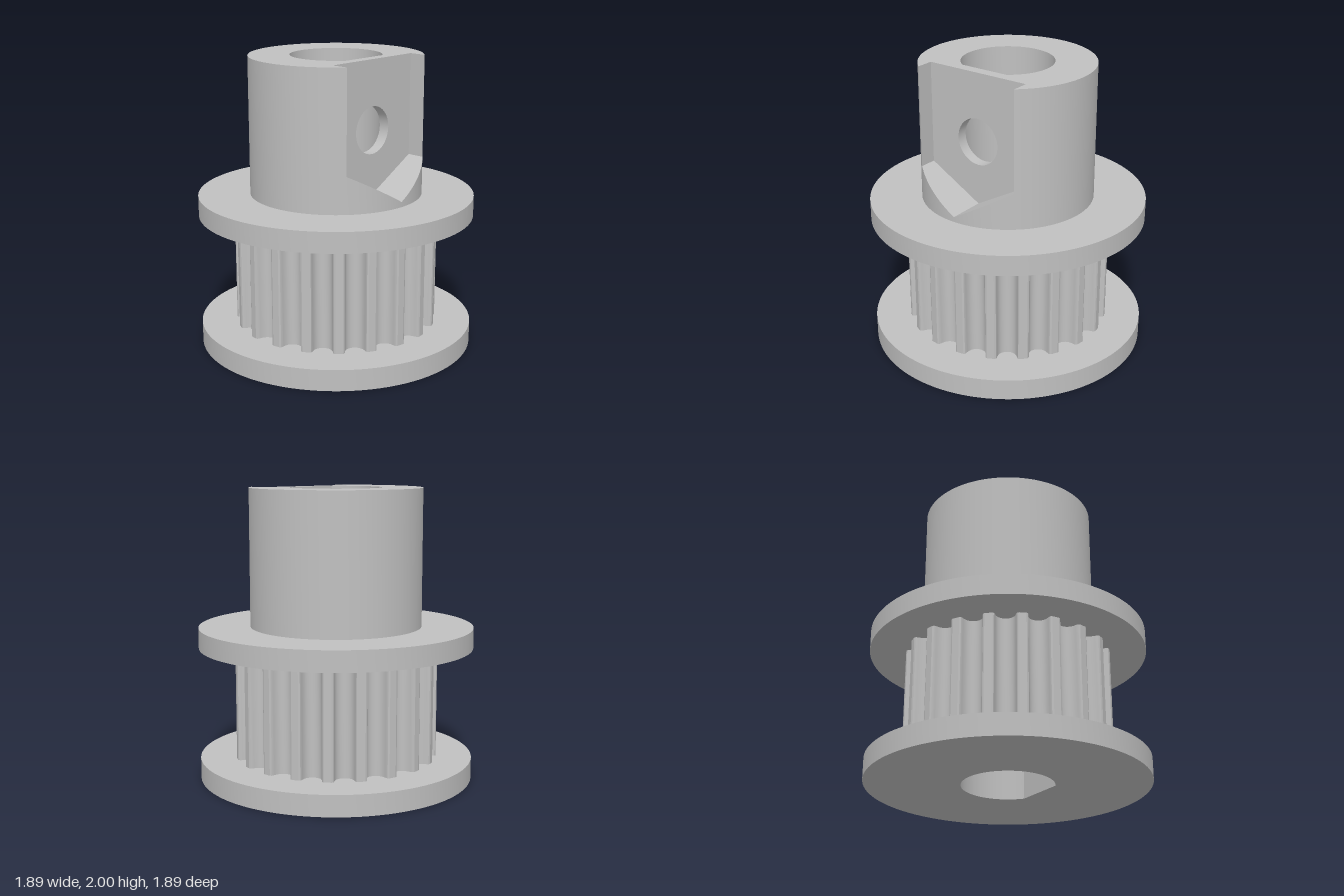
import * as THREE from 'three';
import { toCreasedNormals } from 'three/addons/utils/BufferGeometryUtils.js';

const FLANGE_R = 0.945, TOOTH_R = 0.7, HUB_R = 0.59, BORE_R = 0.31, BORE_FLAT = 0.255;
const HUB_Y = 1.055, TOP = 2;
const SLOT_X = 0.33, SLOT_Z = 0.38, SLOT_LOW = 1.09, SLOT_SIDE = 1.305; // set-screw slot
const HOLE_R = 0.16, HOLE_Y = 1.53;
const BORE_A = Math.acos(BORE_FLAT / BORE_R);
const SLOT_A = Math.asin(SLOT_Z / HUB_R);

// D-shaped shaft hole outline
function boreHole() {
  return new THREE.Path().absarc(0, 0, BORE_R, BORE_A, Math.PI * 2 - BORE_A, false).closePath();
}

// Ring or gear section standing between two heights
function section(shape, y0, y1) {
  shape.holes.push(boreHole());
  const g = new THREE.ExtrudeGeometry(shape, { depth: y1 - y0, bevelEnabled: false, curveSegments: 80 });
  g.rotateX(-Math.PI / 2).translate(0, y0, 0);
  return toCreasedNormals(g, 0.5);
}

function disc(r) {
  return new THREE.Shape().absarc(0, 0, r, 0, Math.PI * 2, false);
}

// Twenty rounded belt grooves cut in a circle
function gearShape() {
  const half = [[0.0856, 0], [0.074, 0.0043], [0.0685, 0.015], [0.0662, 0.0273], [0.0626, 0.0393],
    [0.0578, 0.0508], [0.0517, 0.0618], [0.041, 0.073], [0.0284, 0.081], [0.0146, 0.0859]];
  const groove = [...half.map(([w, d]) => [-w, d]), [0, 0.0876], ...half.slice().reverse()];
  const chord = Math.sqrt(TOOTH_R ** 2 - 0.0856 ** 2);
  const pts = [];
  for (let i = 0; i < 20; i++) {
    const a = i * Math.PI / 10;
    for (const [w, d] of groove) pts.push(new THREE.Vector2(chord - d, w).rotateAround(new THREE.Vector2(), a));
  }
  return new THREE.Shape(pts);
}

// Surface between pairs of matching lines of points
function ruled(...pairs) {
  const pos = [];
  for (const [a, b] of pairs) {
    for (let i = 0; i < a.length - 1; i++) {
      pos.push(...a[i], ...b[i], ...b[i + 1], ...a[i], ...b[i + 1], ...a[i + 1]);
    }
  }
  const g = new THREE.BufferGeometry();
  g.setAttribute('position', new THREE.Float32BufferAttribute(pos, 3));
  g.computeVertexNormals();
  return toCreasedNormals(g, 0.5);
}

function line(n, from, to, fn) {
  return Array.from({ length: n + 1 }, (_, i) => fn(from + (to - from) * i / n));
}

const slotFloor = z => SLOT_LOW + (SLOT_SIDE - SLOT_LOW) * Math.abs(z) / SLOT_Z;
const onHub = (a, y) => [HUB_R * Math.cos(a), y, HUB_R * Math.sin(a)];

// Upright plate outline with the set-screw hole in it
function screwPlate(points) {
  const s = new THREE.Shape(points.map(p => new THREE.Vector2(...p)));
  s.holes.push(new THREE.Path().absarc(0, HOLE_Y, HOLE_R, 0, Math.PI * 2, true));
  return new THREE.ShapeGeometry(s, 24);
}

export function createModel() {
  const model = new THREE.Group();
  const metal = new THREE.MeshStandardMaterial({ color: 0xc0c0c0, side: THREE.DoubleSide });
  metal.name = 'grey metal';
  const add = (name, geometry, parent = model) => {
    const mesh = new THREE.Mesh(geometry, metal);
    mesh.name = name;
    parent.add(mesh);
  };

  // Flanges and toothed belt drum
  add('lowerFlange', section(disc(FLANGE_R), 0, 0.145));
  add('toothedDrum', section(gearShape(), 0.145, 0.915));
  add('upperFlange', section(disc(FLANGE_R), 0.915, HUB_Y));

  const hub = new THREE.Group();
  hub.name = 'hub';
  model.add(hub);

  // Outer wall, cut down to the V floor at the slot
  const far = Math.PI * 2 - SLOT_A;
  add('hubWall', ruled(
    [line(80, SLOT_A, far, a => onHub(a, HUB_Y)), line(80, SLOT_A, far, a => onHub(a, TOP))],
    [line(24, -SLOT_A, SLOT_A, a => onHub(a, HUB_Y)),
      line(24, -SLOT_A, SLOT_A, a => onHub(a, slotFloor(HUB_R * Math.sin(a))))]), hub);

  // Top face
  const top = new THREE.Shape().absarc(0, 0, HUB_R, SLOT_A, far, false);
  top.lineTo(SLOT_X, -SLOT_Z).lineTo(SLOT_X, SLOT_Z).closePath();
  top.holes.push(boreHole());
  add('hubTop', new THREE.ShapeGeometry(top, 80).rotateX(-Math.PI / 2).translate(0, TOP, 0), hub);

  // Slot: back, sides and V-shaped floor
  const back = screwPlate([[-SLOT_Z, TOP], [-SLOT_Z, SLOT_SIDE], [0, SLOT_LOW], [SLOT_Z, SLOT_SIDE], [SLOT_Z, TOP]]);
  add('slotBack', back.rotateY(Math.PI / 2).translate(SLOT_X, 0, 0), hub);
  const edgeX = HUB_R * Math.cos(SLOT_A);
  const side = (z, x0, x1) => [[[x0, SLOT_SIDE, z], [x1, SLOT_SIDE, z]], [[x0, TOP, z], [x1, TOP, z]]];
  add('slotSides', ruled(side(SLOT_Z, SLOT_X, edgeX), side(-SLOT_Z, edgeX, SLOT_X)), hub);
  const floor = (z0, z1) => [
    line(12, z0, z1, z => [SLOT_X, slotFloor(z), z]),
    line(12, z0, z1, z => [Math.sqrt(HUB_R ** 2 - z * z), slotFloor(z), z])];
  add('slotFloor', ruled(floor(SLOT_Z, 0), floor(0, -SLOT_Z)), hub);

  // Bore wall, its flat, and the set-screw hole
  const bore = y => line(64, BORE_A, Math.PI * 2 - BORE_A, a => [BORE_R * Math.cos(a), y, BORE_R * Math.sin(a)]);
  add('boreWall', ruled([bore(TOP), bore(HUB_Y)]), hub);
  const w = BORE_R * Math.sin(BORE_A);
  const flat = screwPlate([[-w, HUB_Y], [w, HUB_Y], [w, TOP], [-w, TOP]]);
  add('boreFlat', flat.rotateY(-Math.PI / 2).translate(BORE_FLAT, 0, 0), hub);
  const ring = x => line(48, 0, Math.PI * 2, a => [x, HOLE_Y + HOLE_R * Math.cos(a), HOLE_R * Math.sin(a)]);
  add('screwHole', ruled([ring(BORE_FLAT), ring(SLOT_X)]), hub);

  // Face every loose surface the way it is seen
  const hole = hub.getObjectByName('screwHole').geometry;
  const p = hole.attributes.position, n = hole.attributes.normal;
  if ((p.getY(0) - HOLE_Y) * n.getY(0) > 0) hole.scale(1, 1, -1);
  return model;
}
